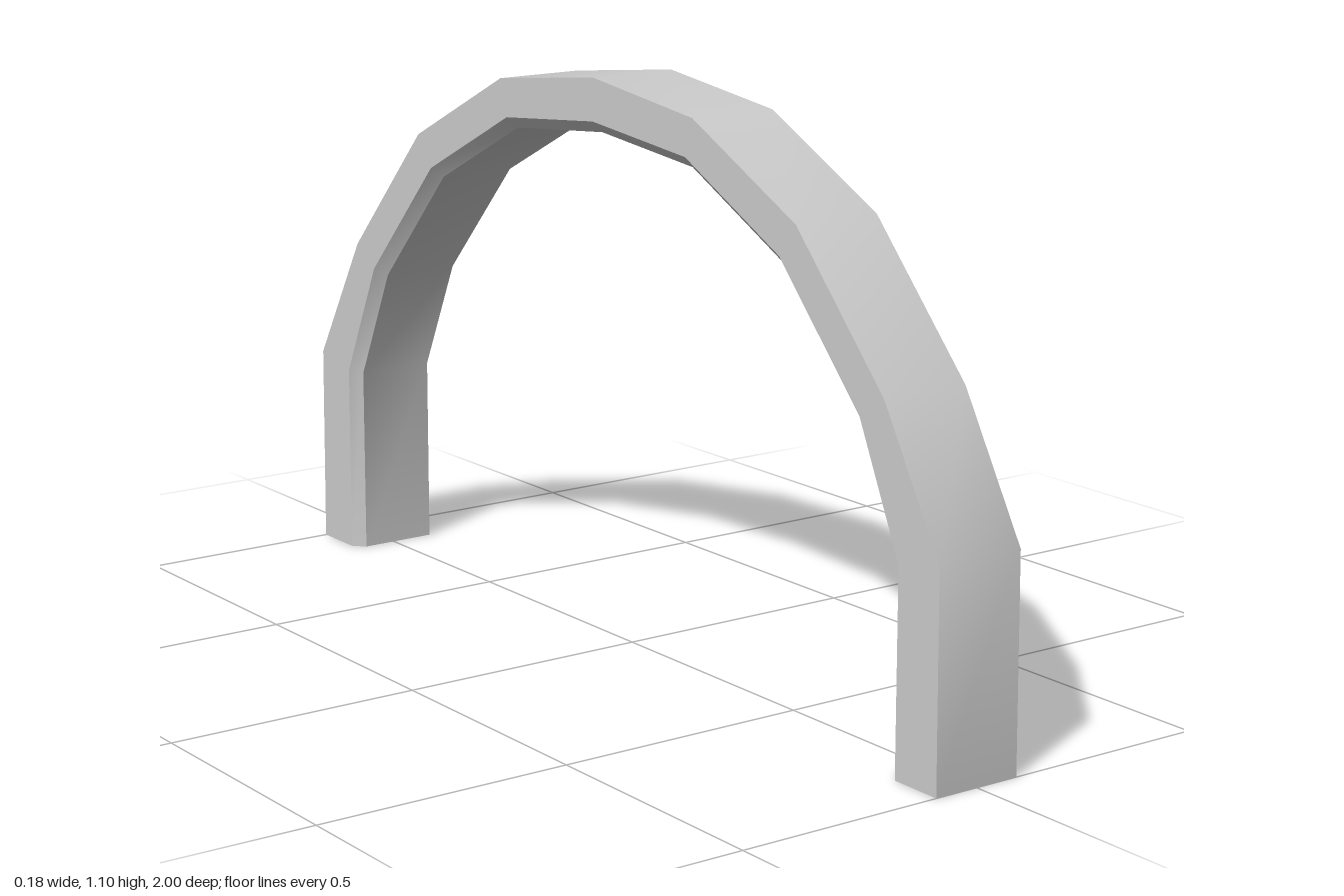
import * as THREE from 'three';
import { toCreasedNormals } from 'three/addons/utils/BufferGeometryUtils.js';

const HALF_WIDTH = 0.09;
const CHAMFER = 0.022;

// Half profile from foot to crown: [outer z, outer y, inner z, inner y]
const HALF = [
  [1, 0, 0.87, 0],
  [0.996, 0.405, 0.87, 0.378],
  [0.847, 0.66, 0.765, 0.605],
  [0.605, 0.92, 0.547, 0.84],
  [0.307, 1.067, 0.28, 0.973],
  [0, 1.104, 0, 1.0],
];

// Five-sided cross-section, chamfered on the inner edge at -x
function section([oz, oy, iz, iy]) {
  const outer = new THREE.Vector2(oz, oy);
  const inner = new THREE.Vector2(iz, iy);
  const cut = inner.clone().lerp(outer, CHAMFER / inner.distanceTo(outer));
  const w = HALF_WIDTH;
  return [
    [w, outer.y, outer.x],
    [w, inner.y, inner.x],
    [-w + CHAMFER, inner.y, inner.x],
    [-w, cut.y, cut.x],
    [-w, outer.y, outer.x],
  ];
}

function archGeometry() {
  // Mirror the half profile to run from the front foot to the back foot
  const back = HALF.slice(0, -1).reverse().map(([oz, oy, iz, iy]) => [-oz, oy, -iz, iy]);
  const rings = [...HALF, ...back].map(section);
  const n = rings[0].length;
  const last = (rings.length - 1) * n;
  const index = [];

  // Skin between neighbouring sections
  for (let i = 0; i < rings.length - 1; i++) {
    for (let j = 0; j < n; j++) {
      const a = i * n + j;
      const b = i * n + ((j + 1) % n);
      index.push(a, b, b + n, a, b + n, a + n);
    }
  }
  // Soles of the two feet
  for (let k = 1; k < n - 1; k++) {
    index.push(0, k + 1, k);
    index.push(last, last + k, last + k + 1);
  }

  const geometry = new THREE.BufferGeometry();
  geometry.setAttribute('position', new THREE.Float32BufferAttribute(rings.flat(2), 3));
  geometry.setIndex(index);
  // Smooth along the curve, sharp along the edges
  return toCreasedNormals(geometry, 0.6);
}

export function createModel() {
  const group = new THREE.Group();
  group.name = 'archModel';
  const arch = new THREE.Mesh(
    archGeometry(),
    new THREE.MeshStandardMaterial({ color: 0xcccccc })
  );
  arch.name = 'arch';
  group.add(arch);
  return group;
}
